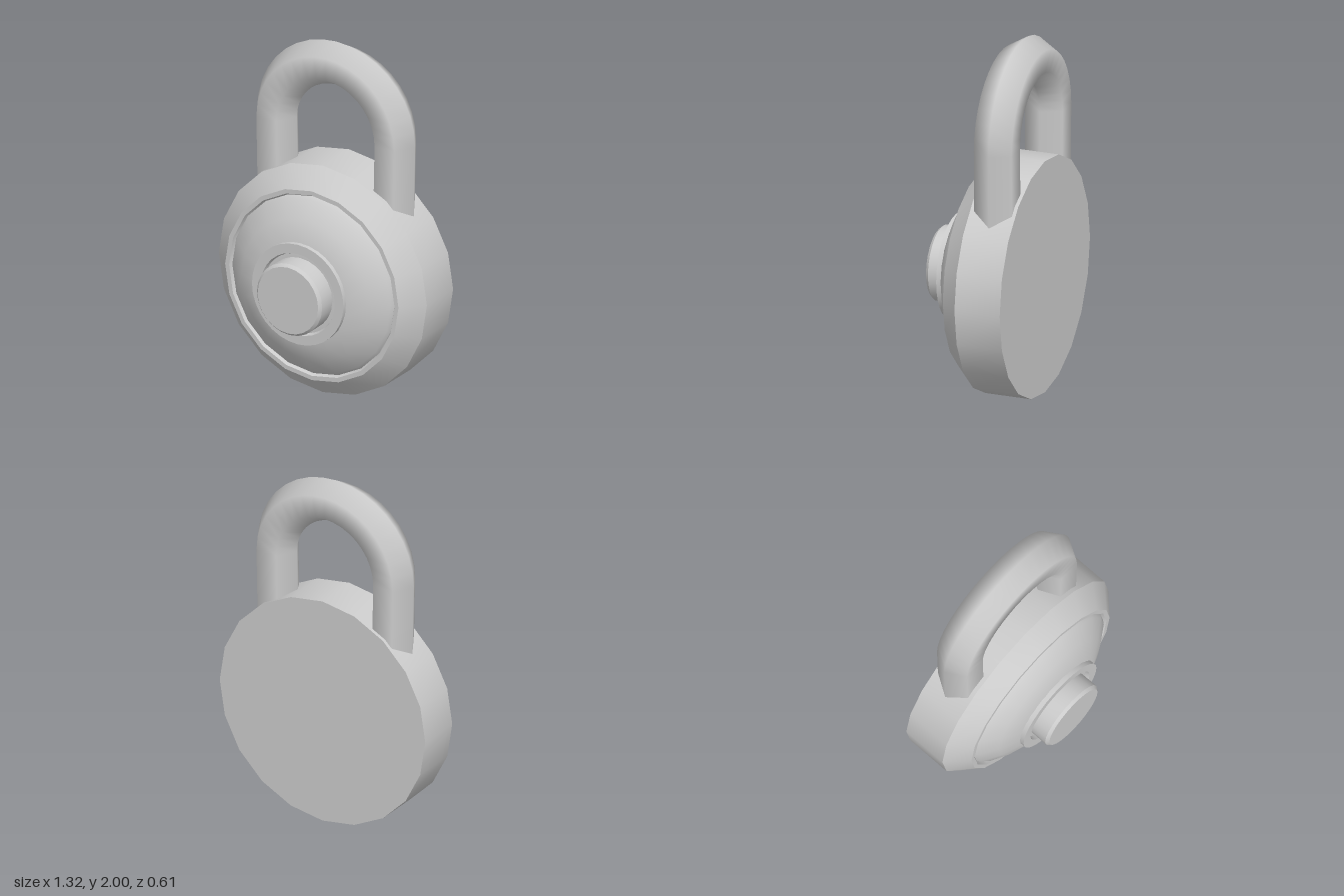
import * as THREE from 'three';
import { toCreasedNormals } from 'three/addons/utils/BufferGeometryUtils.js';

const material = new THREE.MeshStandardMaterial({ color: 0xcccccc });
const CENTRE_Y = 0.665;

// Turned part: profile of [radius, z] from back to front, axis along z
function turned(name, profile, sides) {
  const points = profile.map(([r, z]) => new THREE.Vector2(r, z));
  const geometry = new THREE.LatheGeometry(points, sides).rotateX(Math.PI / 2);
  const mesh = new THREE.Mesh(toCreasedNormals(geometry, 0.5), material);
  mesh.name = name;
  mesh.position.y = CENTRE_Y;
  return mesh;
}

export function createModel() {
  const model = new THREE.Group();
  model.name = 'padlock';

  // Case: flat back, straight side, bevelled front and a narrow rim
  model.add(turned('case', [
    [0, -0.305], [0.66, -0.305], [0.66, -0.045], [0.55, 0.065], [0.525, 0.065], [0.515, 0.048], [0.47, 0.048],
  ], 20));

  // Domed dial
  model.add(turned('dial', [
    [0.515, 0.048], [0.5, 0.068], [0.405, 0.13], [0.285, 0.182], [0.2, 0.182],
  ], 20));

  // Raised collar with a recess around the knob
  model.add(turned('collar', [
    [0.29, 0.178], [0.29, 0.205], [0.235, 0.205], [0.225, 0.175], [0, 0.175],
  ], 32));

  // Knob with a bevelled front edge
  model.add(turned('knob', [
    [0.205, 0.17], [0.207, 0.285], [0.192, 0.302], [0, 0.302],
  ], 24));

  // Shackle: six-sided bow and two legs that lean slightly inwards
  const shackle = new THREE.Group();
  shackle.name = 'shackle';
  shackle.position.set(0, 1.5, -0.177);
  const bow = new THREE.Mesh(new THREE.TorusGeometry(0.375, 0.125, 6, 18, Math.PI), material);
  bow.name = 'shackleBow';
  shackle.add(bow);
  const legLength = 0.6;
  for (const side of [1, -1]) {
    const geometry = new THREE.CylinderGeometry(0.125, 0.125, legLength, 6, 1, false, Math.PI / 2);
    geometry.translate(side * 0.375, -legLength / 2, 0);
    const p = geometry.attributes.position;
    for (let i = 0; i < p.count; i++) p.setX(i, p.getX(i) + side * 0.02 * p.getY(i));
    const leg = new THREE.Mesh(geometry, material);
    leg.name = side > 0 ? 'leftShackleLeg' : 'rightShackleLeg';
    shackle.add(leg);
  }
  model.add(shackle);

  return model;
}
